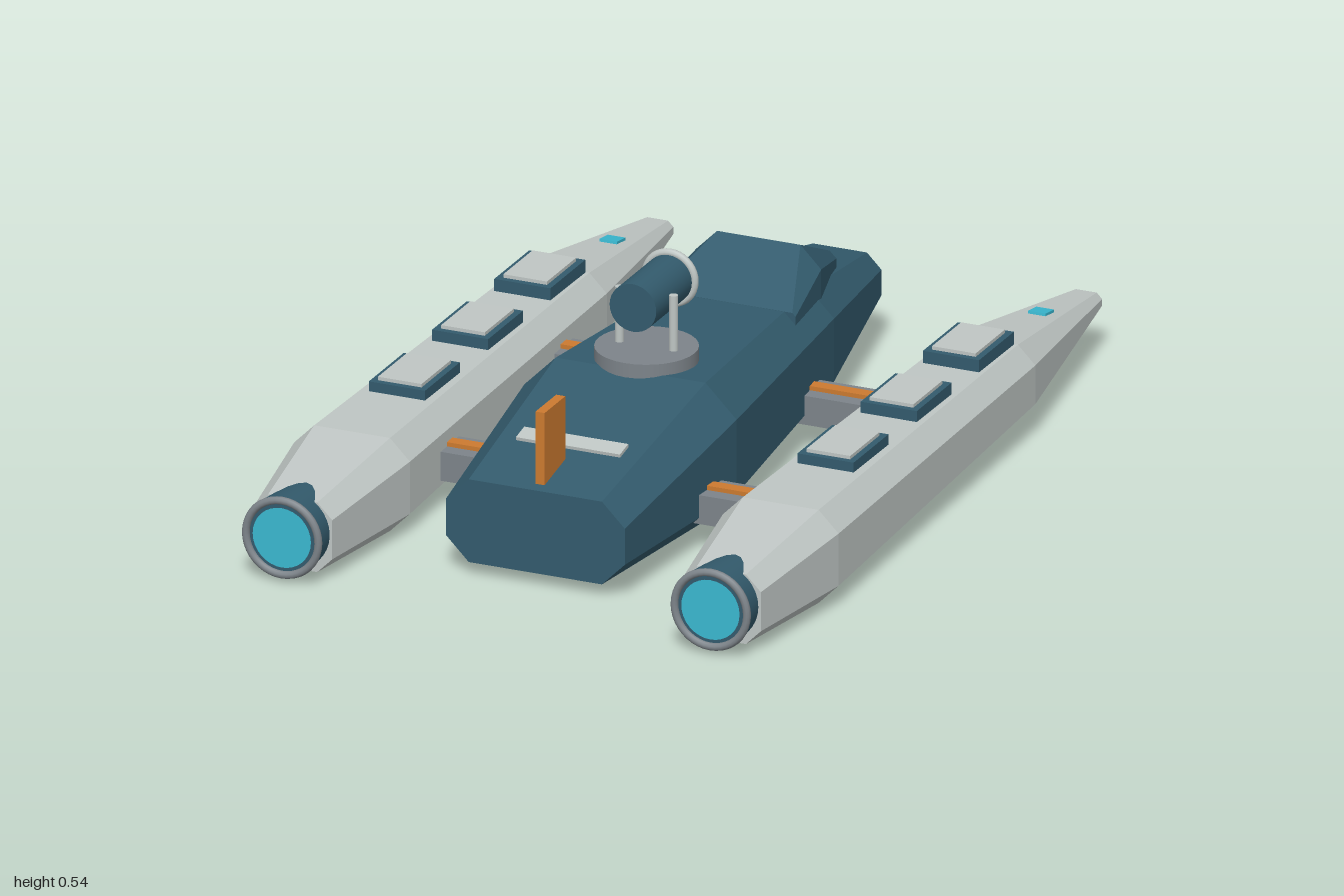
import * as THREE from 'three';

const mat = (name, color) => {
  const m = new THREE.MeshStandardMaterial({ color });
  m.name = name;
  return m;
};

// Lofts bevelled sections [z, halfWidth, yBottom, yTop, cut], listed from back to front
function loft(sections) {
  const rings = sections.map(([z, w, y0, y1, c]) => [
    [w, y0 + c], [w, y1 - c], [w - c, y1], [c - w, y1],
    [-w, y1 - c], [-w, y0 + c], [c - w, y0], [w - c, y0],
  ].map(([x, y]) => [x, y, z]));
  const pos = [];
  const tri = (a, b, c) => pos.push(...a, ...b, ...c);
  for (let s = 0; s < rings.length - 1; s++) {
    const a = rings[s], b = rings[s + 1];
    for (let i = 0; i < 8; i++) {
      const j = (i + 1) % 8;
      tri(a[i], a[j], b[j]);
      tri(a[i], b[j], b[i]);
    }
  }
  const back = rings[0], front = rings[rings.length - 1];
  for (let i = 1; i < 7; i++) {
    tri(front[0], front[i], front[i + 1]);
    tri(back[0], back[i + 1], back[i]);
  }
  const g = new THREE.BufferGeometry();
  g.setAttribute('position', new THREE.Float32BufferAttribute(pos, 3));
  g.computeVertexNormals();
  return g;
}

// Cylinder lying along z
const tubeZ = (rFront, rBack, len) =>
  new THREE.CylinderGeometry(rFront, rBack, len, 32).rotateX(Math.PI / 2);

export function createModel() {
  const blue = mat('deep blue', 0x335b6d);
  const light = mat('light grey', 0xbfc6c4);
  const grey = mat('steel grey', 0x7d848a);
  const orange = mat('orange', 0xcc7a30);
  const cyan = mat('cyan glow', 0x3ab8d0);

  const model = new THREE.Group();
  model.name = 'tripleHullCraft';
  const add = (parent, name, geo, material, x = 0, y = 0, z = 0) => {
    const m = new THREE.Mesh(geo, material);
    m.name = name;
    m.position.set(x, y, z);
    parent.add(m);
    return m;
  };
  const box = (w, h, d) => new THREE.BoxGeometry(w, h, d);

  // Central hull
  add(model, 'centralHull', loft([
    [-0.83, 0.1, 0.08, 0.21, 0.035],
    [-0.38, 0.19, 0.03, 0.298, 0.06],
    [0.28, 0.255, 0, 0.325, 0.075],
    [0.785, 0.215, 0.03, 0.225, 0.055],
  ]), blue);

  // Canopy: wedge with a raised ridge, buried slightly in the hull
  add(model, 'canopy', loft([
    [-0.635, 0.08, 0.19, 0.285, 0.016],
    [-0.4, 0.15, 0.22, 0.39, 0.05],
    [-0.22, 0.17, 0.25, 0.305, 0.008],
  ]), blue);

  // Stern details
  add(model, 'fin', box(0.022, 0.19, 0.11), orange, 0, 0.305, 0.705);
  const bar = add(model, 'deckBar', box(0.25, 0.02, 0.045), light, 0, 0.262, 0.588);
  bar.rotation.x = 0.2;

  // Deck turret
  const turret = new THREE.Group();
  turret.name = 'turret';
  turret.position.set(0, 0, 0.195);
  model.add(turret);
  add(turret, 'turretBase', new THREE.CylinderGeometry(0.115, 0.115, 0.045, 32), grey, 0, 0.33, 0);
  add(turret, 'barrel', tubeZ(0.056, 0.056, 0.195), blue, 0, 0.467, -0.025);
  add(turret, 'barrelRim', new THREE.TorusGeometry(0.059, 0.009, 10, 36), light, 0, 0.467, -0.125);
  add(turret, 'lens', new THREE.CircleGeometry(0.052, 32).rotateY(Math.PI), cyan, 0, 0.467, -0.126);
  for (const s of [-1, 1]) {
    add(turret, 'turretPost', new THREE.CylinderGeometry(0.01, 0.01, 0.14, 12), light, s * 0.065, 0.412, 0);
  }

  for (const s of [-1, 1]) {
    // Outer pontoon
    const pontoon = new THREE.Group();
    pontoon.name = s > 0 ? 'leftPontoon' : 'rightPontoon';
    pontoon.position.x = s * 0.515;
    model.add(pontoon);
    add(pontoon, 'pontoonHull', loft([
      [-1, 0.038, 0.09, 0.132, 0.013],
      [-0.47, 0.118, 0.035, 0.21, 0.042],
      [0.62, 0.139, 0, 0.219, 0.048],
      [0.935, 0.095, 0.012, 0.176, 0.036],
    ]), light);

    // Engine nozzle
    add(pontoon, 'nozzle', tubeZ(0.094, 0.078, 0.175), blue, 0, 0.104, 0.9025);
    add(pontoon, 'nozzleRing', new THREE.TorusGeometry(0.087, 0.009, 10, 40), grey, 0, 0.104, 0.991);
    add(pontoon, 'nozzleGlow', new THREE.CircleGeometry(0.07, 32), cyan, 0, 0.104, 0.993);

    // Deck hatches
    for (const z of [-0.375, -0.045, 0.29]) {
      add(pontoon, 'hatchFrame', box(0.135, 0.045, 0.185), blue, 0, 0.2175, z);
      add(pontoon, 'hatchCover', box(0.105, 0.02, 0.155), light, 0, 0.238, z);
    }

    // Bow light
    const lamp = add(pontoon, 'bowLight', box(0.042, 0.009, 0.045), cyan, 0, 0.169, -0.76);
    lamp.rotation.x = -0.146;

    // Cross struts with orange strips
    for (const z of [-0.23, 0.4]) {
      add(model, 'strut', box(0.3, 0.068, 0.1), grey, s * 0.3, 0.098, z);
      add(model, 'strutStrip', box(0.28, 0.012, 0.03), orange, s * 0.3, 0.136, z);
    }
  }
  return model;
}
